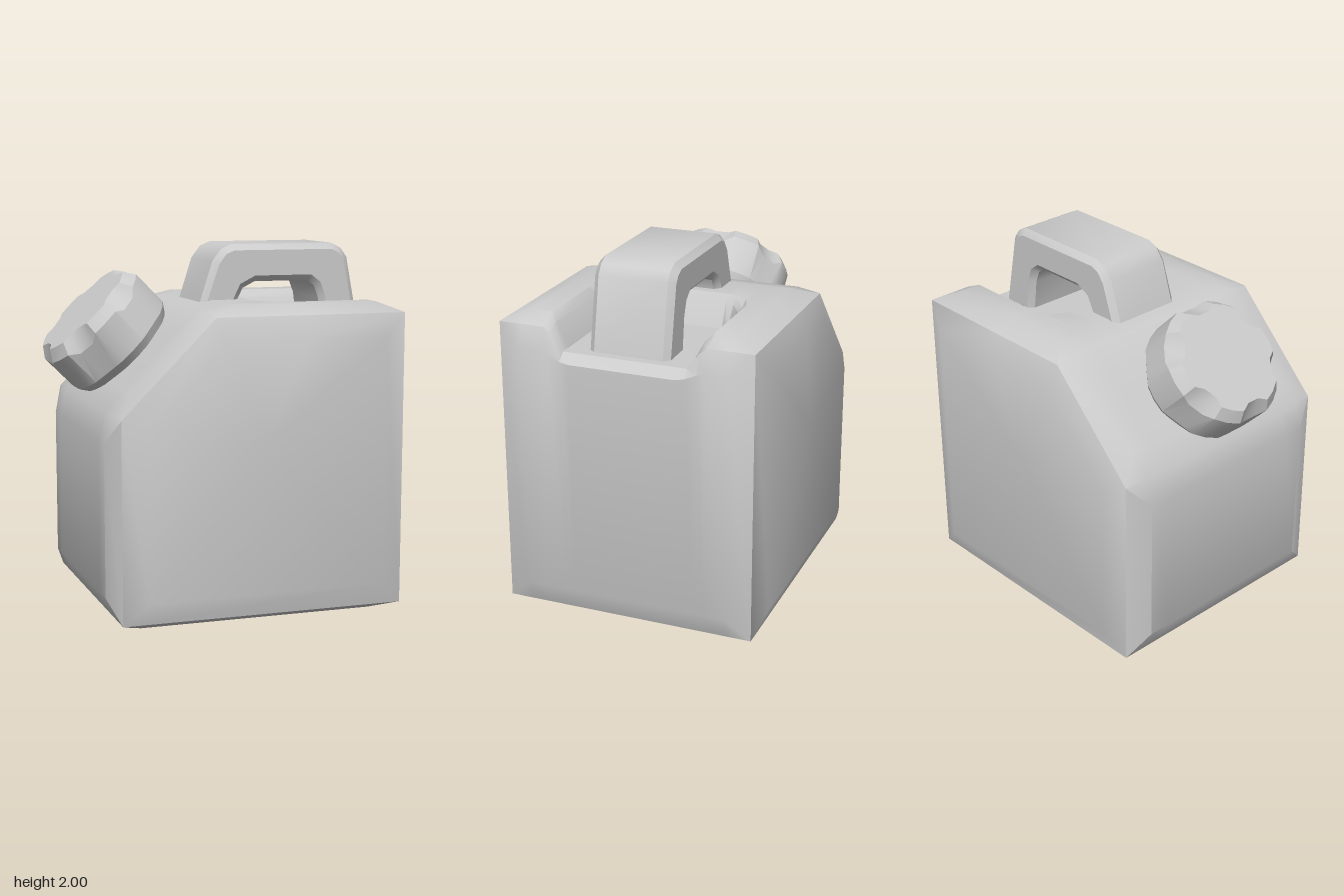
import * as THREE from 'three';
import { toCreasedNormals } from 'three/addons/utils/BufferGeometryUtils.js';

const material = new THREE.MeshStandardMaterial({ color: 0xcccccc });

// Skins closed rings of [x, y, z] points and closes both ends
function loft(rings, crease) {
  const out = [];
  const v = (p) => new THREE.Vector3(...p);
  const tri = (a, b, c) => {
    const area = v(b).sub(v(a)).cross(v(c).sub(v(a))).length();
    if (area > 1e-7) out.push(...a, ...b, ...c);
  };
  const centre = (ring) => [0, 1, 2].map((k) => ring.reduce((s, p) => s + p[k], 0) / ring.length);
  const n = rings[0].length;
  const first = rings[0], last = rings[rings.length - 1];
  const c0 = centre(first), c1 = centre(last);
  for (let j = 0; j < n; j++) {
    const k = (j + 1) % n;
    tri(c0, first[j], first[k]);
    tri(c1, last[k], last[j]);
    for (let i = 0; i < rings.length - 1; i++) {
      const p = rings[i], q = rings[i + 1];
      tri(p[j], q[j], p[k]);
      tri(p[k], q[j], q[k]);
    }
  }
  const geo = new THREE.BufferGeometry();
  geo.setAttribute('position', new THREE.Float32BufferAttribute(out, 3));
  return toCreasedNormals(geo, crease);
}

function addMesh(group, name, geometry) {
  const mesh = new THREE.Mesh(geometry, material);
  mesh.name = name;
  group.add(mesh);
  return mesh;
}

// Can body: side profiles stacked along z, with an open recess at the top right
function bodyGeometry() {
  // notch points run from the right wall, over the recess floor, to its left rim
  const profile = (z, notch) => [
    [-0.76, 0.18], [-0.7, 0.055], [-0.57, 0],
    [0.74, 0], [0.87, 0.055], [0.92, 0.18],
    ...notch,
    [-0.06, 1.7], [-0.2, 1.67], [-0.34, 1.55],
    [-0.62, 1.26], [-0.72, 1.15], [-0.76, 1.0],
  ].map(([x, y]) => [x, y, z]);

  // edge rings collapse each rounded corner to one point
  const collapsed = (z, bl, br, tr, ul, ll) => {
    const rim = [0.3, 0.25, 0.2].map((x) => [x, tr[1]]);
    return [bl, bl, bl, br, br, br, tr, tr, tr, ...rim, ul, ul, ul, ll, ll, ll]
      .map(([x, y]) => [x, y, z]);
  };

  const half = [
    collapsed(0.75, [-0.57, 0.18], [0.74, 0.18], [0.74, 1.52], [-0.14, 1.52], [-0.57, 1.09]),
    collapsed(0.7, [-0.7, 0.055], [0.87, 0.055], [0.87, 1.65], [-0.19, 1.65], [-0.7, 1.14]),
    profile(0.57, [[0.92, 1.53], [0.87, 1.65], [0.76, 1.7], [0.3, 1.7], [0.25, 1.7], [0.2, 1.7]]),
    profile(0.45, [[0.92, 1.53], [0.87, 1.65], [0.76, 1.7], [0.32, 1.7], [0.3, 1.7], [0.27, 1.7]]),
    profile(0.41, [[0.92, 1.52], [0.88, 1.62], [0.8, 1.66], [0.32, 1.66], [0.26, 1.67], [0.19, 1.7]]),
    profile(0.34, [[0.92, 1.49], [0.87, 1.53], [0.8, 1.53], [0.3, 1.53], [0.2, 1.66], [0.16, 1.7]]),
    profile(0.29, [[0.92, 1.48], [0.87, 1.53], [0.8, 1.53], [0.24, 1.53], [0.18, 1.66], [0.15, 1.7]]),
  ];
  const mirrored = half.map((r) => r.map(([x, y, z]) => [x, y, -z])).reverse();
  return loft([...half, ...mirrored], 0.6);
}

// Handle: bevelled arch, its right leg standing in the recess
function handleGeometry() {
  const outline = [
    [-0.145, 1.6], [0.09, 1.6], [0.1, 1.7], [0.13, 1.76], [0.2, 1.795],
    [0.51, 1.795], [0.55, 1.765], [0.575, 1.7], [0.6, 1.5],
    [0.825, 1.5], [0.745, 1.92], [0.71, 1.97], [0.65, 2],
    [0.065, 2], [0.005, 1.975], [-0.045, 1.91],
  ].map((p) => new THREE.Vector2(...p));
  const bevel = 0.033;
  const geo = new THREE.ExtrudeGeometry(new THREE.Shape(outline), {
    depth: 0.445 - 2 * bevel, bevelEnabled: true, bevelSegments: 1,
    bevelSize: bevel, bevelOffset: -bevel, bevelThickness: bevel,
  });
  geo.translate(0, 0, -0.2225 + bevel);
  return toCreasedNormals(geo, 0.6);
}

// Cap: ring levels with six notches cut around the top edge
function capGeometry() {
  // [tooth radius, tooth height, notch radius, notch height]
  const levels = [
    [0.3, 0.323, 0.262, 0.323],
    [0.345, 0.262, 0.328, 0.225],
    [0.345, 0.05, 0.335, 0.05],
    [0.312, 0, 0.305, 0],
  ];
  const rings = levels.map(([rt, yt, rn, yn]) => {
    const ring = [];
    for (let i = 0; i < 6; i++) {
      for (const [offset, r, y] of [[-8, rn, yn], [8, rn, yn], [17, rt, yt], [30, rt, yt], [43, rt, yt]]) {
        const t = THREE.MathUtils.degToRad(30 + 60 * i + offset);
        ring.push([Math.sin(t) * r, y, Math.cos(t) * r]);
      }
    }
    return ring;
  });
  return loft(rings, 0.5);
}

export function createModel() {
  const model = new THREE.Group();
  model.name = 'fuelCan';
  addMesh(model, 'body', bodyGeometry());
  addMesh(model, 'handle', handleGeometry());

  // Spout stands square on the sloped shoulder
  const spout = new THREE.Group();
  spout.name = 'spout';
  spout.position.set(-0.5, 1.422, 0);
  spout.rotation.z = Math.PI / 4;
  addMesh(spout, 'cap', capGeometry());
  addMesh(spout, 'neck', new THREE.CylinderGeometry(0.22, 0.22, 0.16, 16));
  model.add(spout);
  return model;
}
